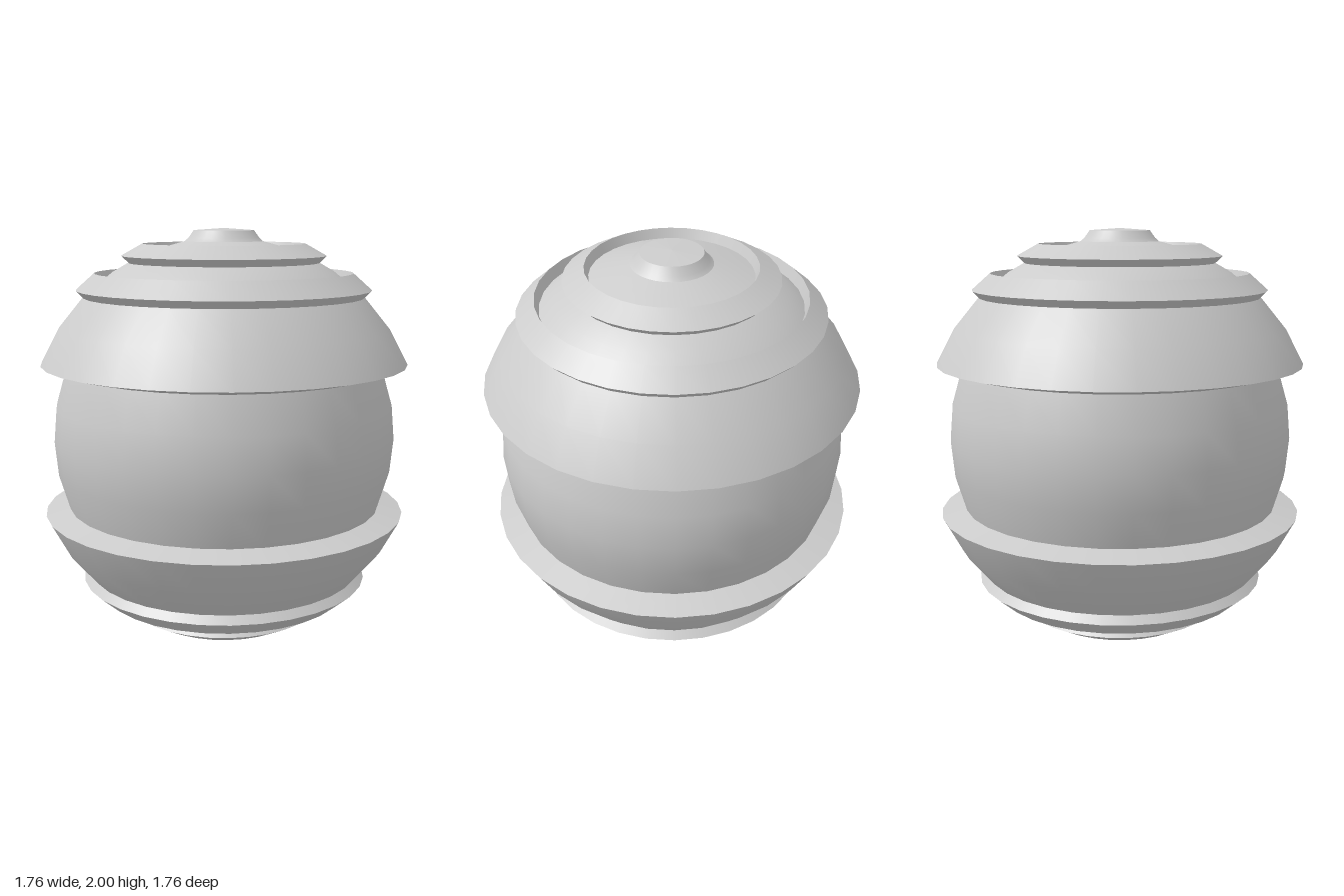
import * as THREE from 'three';

const SIDES = 32;
const CENTER = 1;

// Half profiles (radius, height above the equator), listed upwards.
// Every entry is one smooth run; edges between runs stay sharp.
const HALF = [
  ['flangeLip', [[0.765, 0.335], [0.882, 0.365]]],
  ['flangeBand', [[0.882, 0.365], [0.794, 0.53], [0.672, 0.678]]],
  ['outerRingLip', [[0.672, 0.678], [0.705, 0.712]]],
  ['outerRingFace', [[0.705, 0.712], [0.617, 0.79]]],
  ['outerRingInnerWall', [[0.617, 0.79], [0.598, 0.738]]],
  ['shoulder', [[0.598, 0.738], [0.53, 0.794], [0.455, 0.837]]],
  ['innerRingLip', [[0.455, 0.837], [0.489, 0.87]]],
  ['innerRingFace', [[0.489, 0.87], [0.388, 0.926]]],
  ['innerRingInnerWall', [[0.388, 0.926], [0.37, 0.881]]],
  ['capSurface', [[0.37, 0.881], [0.28, 0.911], [0.186, 0.937]]],
  ['knobSide', [[0.186, 0.937], [0.168, 0.953], [0.143, 0.988]]],
  ['knobTop', [[0.143, 0.988], [0, 0.998]]],
];

export function createModel() {
  const group = new THREE.Group();
  const material = new THREE.MeshStandardMaterial({ color: 0xcccccc, side: THREE.DoubleSide });

  const addLathe = (parent, name, profile) => {
    const points = profile.map(([r, y]) => new THREE.Vector2(r, y));
    const mesh = new THREE.Mesh(new THREE.LatheGeometry(points, SIDES), material);
    mesh.name = name;
    mesh.position.y = CENTER;
    parent.add(mesh);
  };

  // Round middle body
  addLathe(group, 'body', [
    [0.765, -0.335], [0.815, -0.165], [0.83, 0], [0.815, 0.165], [0.765, 0.335],
  ]);

  // Stepped caps, mirrored across the equator
  for (const side of [1, -1]) {
    const cap = new THREE.Group();
    cap.name = side > 0 ? 'upperCap' : 'lowerCap';
    for (const [name, profile] of HALF) {
      const run = profile.map(([r, y]) => [r, y * side]);
      addLathe(cap, name, side > 0 ? run : run.reverse());
    }
    group.add(cap);
  }
  return group;
}
